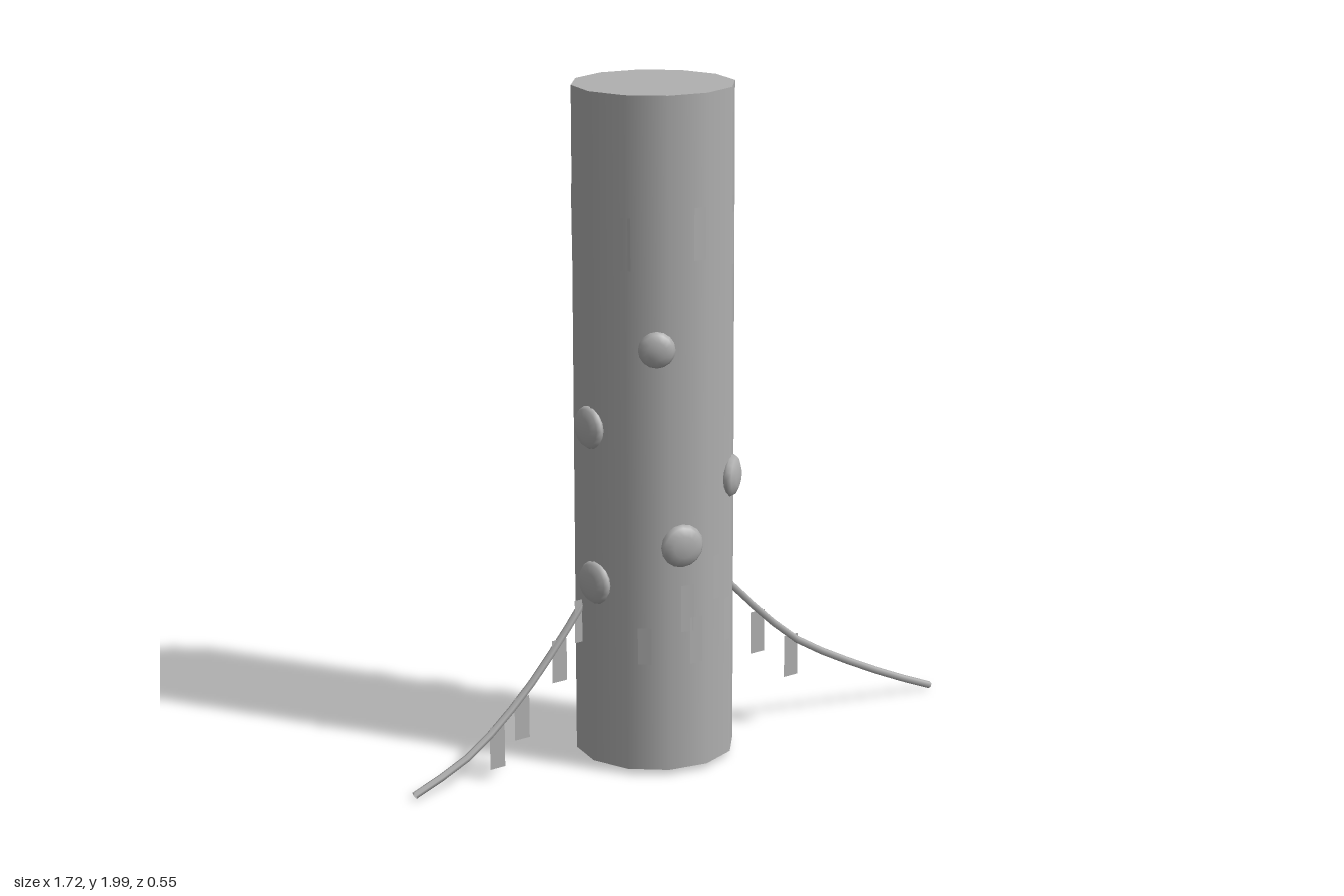
import * as THREE from 'three';

export function createModel() {
  const model = new THREE.Group();
  const grey = new THREE.MeshStandardMaterial({ color: 0xb0b0b0, side: THREE.DoubleSide });
  grey.name = 'bark grey';

  const R = 0.235, CX = -0.095, CZ = 0.02;
  const add = (name, geometry, parent = model) => {
    const mesh = new THREE.Mesh(geometry, grey);
    mesh.name = name;
    parent.add(mesh);
    return mesh;
  };
  const group = (name) => {
    const g = new THREE.Group();
    g.name = name;
    model.add(g);
    return g;
  };
  // Places a mesh on the trunk, facing outward (degrees from +x towards +z)
  const onTrunk = (mesh, degrees, y, radius) => {
    const a = THREE.MathUtils.degToRad(degrees);
    mesh.position.set(CX + radius * Math.cos(a), y, CZ + radius * Math.sin(a));
    mesh.rotation.y = Math.PI / 2 - a;
  };

  // Trunk: twelve smooth sides, closed on top, hollow and open below
  const trunk = add('trunk', new THREE.CylinderGeometry(R, R, 1.98, 12, 1, true, -0.05));
  trunk.position.set(CX, 1.01, CZ);
  const top = add('trunkTop', new THREE.CircleGeometry(R, 12, 0.05));
  top.rotation.x = -Math.PI / 2;
  // circle angle runs the other way round once laid flat
  top.rotation.z = -0.1;
  top.position.set(CX, 2, CZ);

  // Flattened round knots: angle, height, radius
  const knots = group('knots');
  const knotGeometry = new THREE.SphereGeometry(1, 16, 6).rotateX(Math.PI / 2);
  [
    [101, 1.28, 0.053], [156, 1.03, 0.063], [29, 0.865, 0.062], [83, 0.7, 0.064],
    [151, 0.57, 0.064], [-28, 1.34, 0.062], [-86, 1.19, 0.05], [-64, 0.96, 0.063],
    [-121, 0.99, 0.06], [-69, 0.695, 0.062],
  ].forEach(([degrees, y, r]) => {
    const knot = add('knot', knotGeometry, knots);
    knot.scale.set(r, r, 0.025);
    onTrunk(knot, degrees, y, R - 0.002);
  });

  // Thin bark strips lying on the trunk: angle, middle height, height
  const strips = group('barkStrips');
  [
    [124, 1.58, 0.15], [31, 1.565, 0.15], [69, 1.605, 0.15], [-118, 1.55, 0.15],
    [-69, 1.68, 0.15], [-175, 1.64, 0.15], [79, 0.51, 0.14], [51, 0.585, 0.13],
    [110, 0.4, 0.11], [72, 0.41, 0.14], [38, 0.44, 0.13], [-43, 0.435, 0.13],
    [-80, 0.4, 0.13],
  ].forEach(([degrees, y, h]) => {
    onTrunk(add('barkStrip', new THREE.PlaneGeometry(0.04, h), strips), degrees, y, R - 0.002);
  });

  // Slender drooping roots with hanging strips: x, top height, z, height
  const roots = [
    {
      name: 'leftRoot',
      path: [[0.125, 0.51, 0.055], [0.22, 0.41, 0.005], [0.36, 0.28, -0.06],
        [0.52, 0.18, -0.135], [0.7, 0.085, -0.21], [0.855, 0.015, -0.268]],
      hanging: [[0.225, 0.4, 0.005], [0.345, 0.295, -0.055]],
    },
    {
      name: 'rightRoot',
      path: [[-0.31, 0.49, 0.045], [-0.4, 0.37, 0.08], [-0.53, 0.22, 0.13],
        [-0.69, 0.09, 0.2], [-0.855, 0.015, 0.265]],
      hanging: [[-0.32, 0.495, 0.055], [-0.393, 0.385, 0.078], [-0.515, 0.235, 0.125],
        [-0.595, 0.165, 0.16]],
    },
  ];
  for (const { name, path, hanging } of roots) {
    const g = group(name);
    const curve = new THREE.CatmullRomCurve3(path.map((p) => new THREE.Vector3(...p)));
    add(name + 'Stem', new THREE.TubeGeometry(curve, 8, 0.011, 6), g);
    for (const [x, y, z] of hanging) {
      const strip = add('hangingStrip', new THREE.PlaneGeometry(0.052, 0.13), g);
      strip.position.set(x, y - 0.065, z);
      strip.rotation.y = 0.42;
    }
  }
  return model;
}
